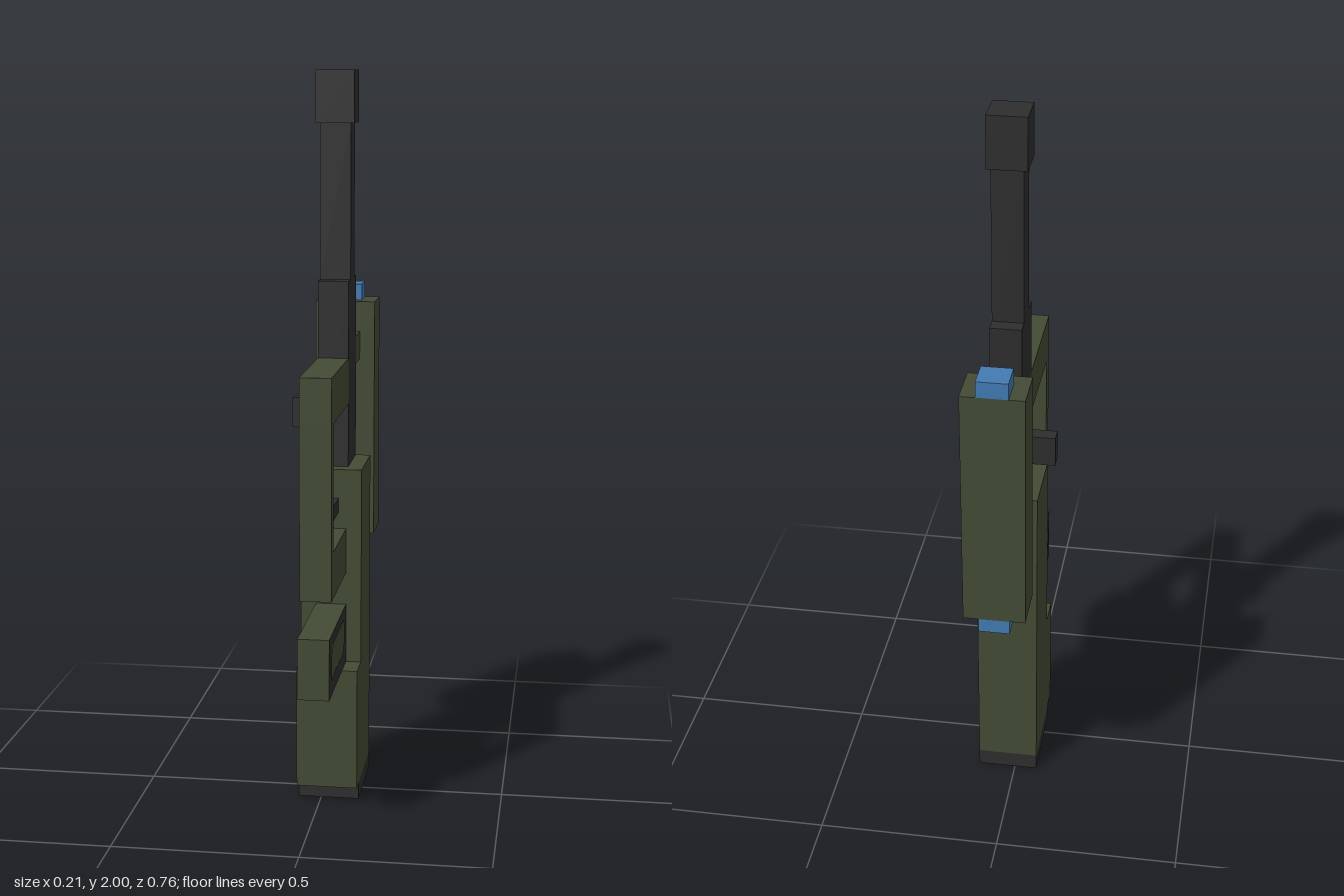
import * as THREE from 'three';

function material(name, color) {
  const m = new THREE.MeshStandardMaterial({ color });
  m.name = name;
  return m;
}

export function createModel() {
  const group = new THREE.Group();
  const green = material('olive green', 0x434b34);
  const black = material('gunmetal black', 0x2e2e2e);
  const blue = material('lens blue', 0x437bb3);

  // Box given by its lower and upper limits on each axis
  const block = (name, mat, [x0, x1], [y0, y1], [z0, z1]) => {
    const mesh = new THREE.Mesh(new THREE.BoxGeometry(x1 - x0, y1 - y0, z1 - z0), mat);
    mesh.position.set((x0 + x1) / 2, (y0 + y1) / 2, (z0 + z1) / 2);
    mesh.name = name;
    group.add(mesh);
    return mesh;
  };
  const wide = [-0.063, 0.105];
  const slim = [-0.021, 0.063];

  // Stock and body
  block('buttPad', black, wide, [0, 0.047], [-0.167, 0.085]);
  block('stock', green, wide, [0.047, 0.385], [-0.167, 0.127]);
  block('body', green, wide, [0.385, 0.93], [-0.167, 0.042]);

  // Receiver, barrel and muzzle
  block('receiver', black, slim, [0.93, 1.44], [-0.167, 0]);
  block('barrel', black, slim, [1.44, 1.86], [-0.127, -0.043]);
  block('muzzle', black, [-0.032, 0.073], [1.86, 2], [-0.137, -0.032]);
  block('bolt', black, [-0.105, -0.021], [1.02, 1.104], [-0.127, -0.086]);

  // Handguard frame and trigger
  block('guardUpperBar', green, slim, [1.105, 1.23], [0, 0.34]);
  block('guardFrontBar', green, slim, [0.765, 1.105], [0.298, 0.34]);
  block('guardLowerBar', green, slim, [0.64, 0.765], [0.042, 0.34]);
  block('trigger', black, [0, 0.042], [0.81, 0.85], [0.042, 0.17]);

  // Magazine with dark sides
  block('magazine', [black, black, green, green, green, green], slim, [0.385, 0.55], [0.042, 0.381]);

  // Uneven green patch on each magazine side, drawn in (z, y)
  const patch = new THREE.Shape([
    [0.352, 0.455], [0.335, 0.428], [0.305, 0.426], [0.29, 0.436], [0.25, 0.436],
    [0.235, 0.428], [0.205, 0.428], [0.19, 0.435], [0.165, 0.428], [0.12, 0.43],
    [0.105, 0.445], [0.086, 0.46], [0.086, 0.505], [0.105, 0.523], [0.315, 0.523],
    [0.335, 0.508], [0.352, 0.5],
  ].map(([z, y]) => new THREE.Vector2(-z, y)));
  const patchGeometry = new THREE.ExtrudeGeometry(patch, { depth: 0.004, bevelEnabled: false });
  patchGeometry.rotateY(Math.PI / 2);
  for (const [name, x] of [['leftMagazinePatch', slim[1] - 0.002], ['rightMagazinePatch', slim[0] - 0.002]]) {
    const mesh = new THREE.Mesh(patchGeometry, green);
    mesh.position.x = x;
    mesh.name = name;
    group.add(mesh);
  }

  // Scope, its mounts and lenses
  block('scopeTube', green, wide, [0.68, 1.355], [-0.381, -0.255]);
  block('upperMount', green, slim, [1.19, 1.27], [-0.255, -0.167]);
  block('lowerMount', green, slim, [0.792, 0.85], [-0.255, -0.167]);
  block('lowerMountBase', black, slim, [0.766, 0.792], [-0.255, -0.167]);
  block('frontLens', blue, slim, [1.355, 1.4], [-0.381, -0.298]);
  block('rearLens', blue, slim, [0.64, 0.68], [-0.381, -0.298]);

  return group;
}
